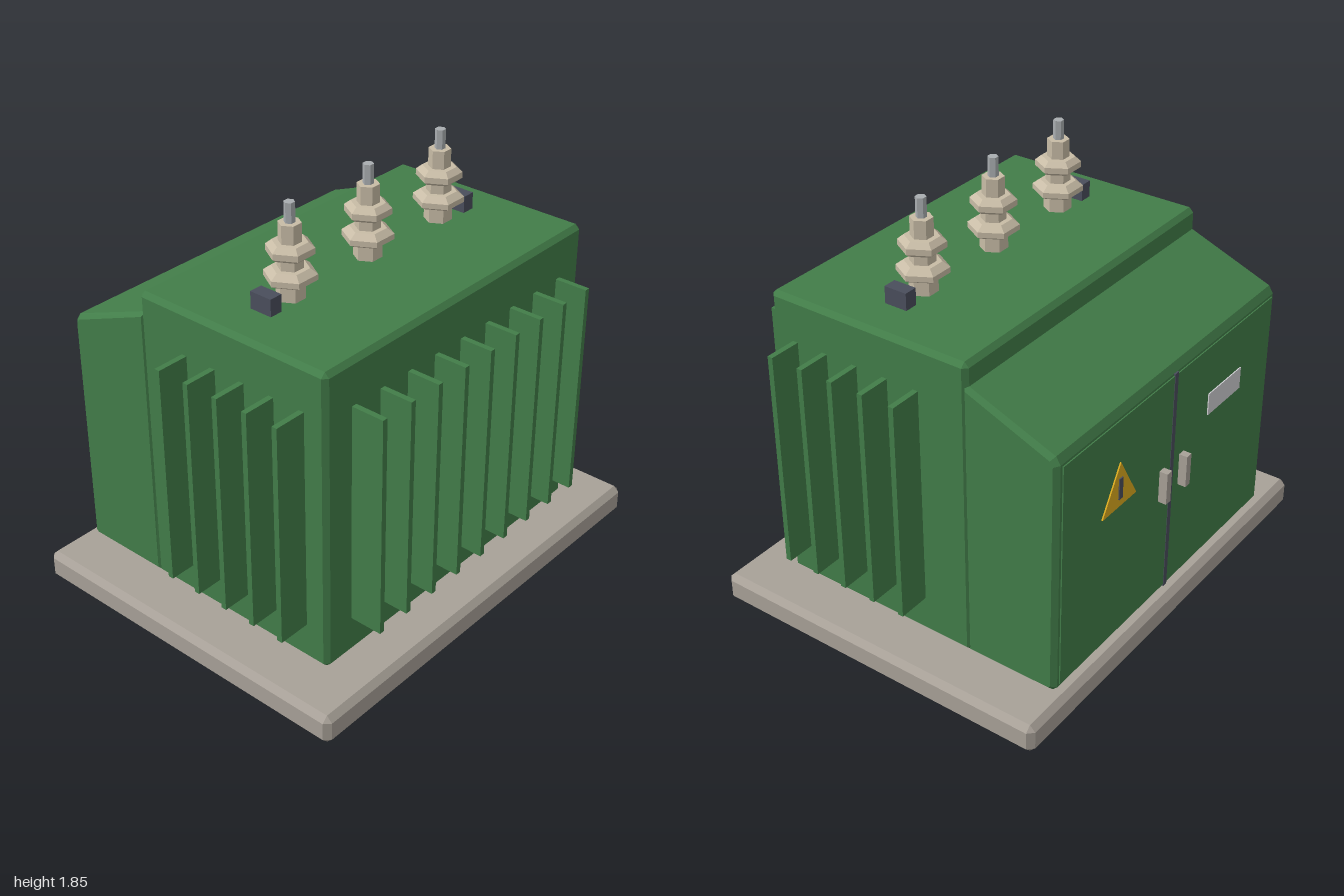
import * as THREE from 'three';
import { ConvexGeometry } from 'three/addons/geometries/ConvexGeometry.js';

const mat = (name, color) => {
  const m = new THREE.MeshStandardMaterial({ color });
  m.name = name;
  return m;
};

// Box with every edge and corner cut at 45 degrees, given by its limits
function chamferBox(x0, x1, y0, y1, z0, z1, c) {
  const h = [(x1 - x0) / 2, (y1 - y0) / 2, (z1 - z0) / 2];
  const pts = [];
  for (const sx of [-1, 1]) for (const sy of [-1, 1]) for (const sz of [-1, 1])
    for (let axis = 0; axis < 3; axis++) {
      const p = h.map((v, i) => (i === axis ? v : v - c));
      pts.push(new THREE.Vector3(sx * p[0], sy * p[1], sz * p[2]));
    }
  return new ConvexGeometry(pts).translate((x0 + x1) / 2, (y0 + y1) / 2, (z0 + z1) / 2);
}

// Plain box given by its limits
function box(x0, x1, y0, y1, z0, z1) {
  return new THREE.BoxGeometry(x1 - x0, y1 - y0, z1 - z0)
    .translate((x0 + x1) / 2, (y0 + y1) / 2, (z0 + z1) / 2);
}

// Six-sided turned part with flat faces, corners on the x axis
function hexTurned(profile) {
  const pts = profile.map(([r, y]) => new THREE.Vector2(r, y));
  const g = new THREE.LatheGeometry(pts, 6, Math.PI / 2).toNonIndexed();
  g.computeVertexNormals();
  return g;
}

export function createModel() {
  const model = new THREE.Group();
  model.name = 'transformer';

  const green = mat('green paint', 0x427d49);
  const concrete = mat('concrete', 0xa8a198);
  const dark = mat('dark grey', 0x4a4e5c);
  const ceramic = mat('ceramic', 0xc8bca6);
  const steel = mat('steel', 0xa9adb0);
  const yellow = mat('warning yellow', 0xdcaa1e);
  const plate = mat('label grey', 0xcfcfd2);

  const add = (name, geometry, material, parent = model) => {
    const mesh = new THREE.Mesh(geometry, material);
    mesh.name = name;
    parent.add(mesh);
    return mesh;
  };

  // Plinth and main tank
  add('plinth', chamferBox(-1, 1, 0, 0.13, -0.787, 0.787, 0.025), concrete);
  add('tank', chamferBox(-0.787, 0.787, 0.13, 1.455, -0.342, 0.598, 0.02), green);

  // Cabinet with sloping roof: side profile (distance to the back, height) extruded along x
  const profile = [[0.32, 0.13], [0.72, 0.13], [0.74, 0.15], [0.74, 1.18], [0.72, 1.212], [0.32, 1.368]];
  const shape = new THREE.Shape(profile.map(([u, y]) => new THREE.Vector2(u, y)));
  const cabinet = new THREE.ExtrudeGeometry(shape, {
    depth: 1.534, bevelEnabled: true, bevelSegments: 1,
    bevelSize: 0.02, bevelThickness: 0.02, bevelOffset: -0.02,
  });
  cabinet.translate(0, 0, -0.767).rotateY(Math.PI / 2);
  add('cabinet', cabinet, green);

  // Cooling fins on the front and both sides
  const fins = new THREE.Group();
  fins.name = 'coolingFins';
  model.add(fins);
  for (let i = -4; i <= 4; i++) {
    const x = i * 0.1585;
    add('frontFin', box(x - 0.012, x + 0.012, 0.3, 1.265, 0.58, 0.742), green, fins);
  }
  for (let i = 0; i < 5; i++) {
    const z = -0.107 + i * 0.1475;
    add('leftFin', box(0.77, 0.928, 0.3, 1.265, z - 0.012, z + 0.012), green, fins);
    add('rightFin', box(-0.928, -0.77, 0.3, 1.265, z - 0.012, z + 0.012), green, fins);
  }

  // Insulator bushings with two sheds and a terminal rod
  const bushing = hexTurned([
    [0.058, 1.44], [0.058, 1.525], [0.085, 1.525], [0.105, 1.537], [0.105, 1.56], [0.075, 1.582], [0.052, 1.582],
    [0.052, 1.63], [0.078, 1.63], [0.095, 1.643], [0.095, 1.668], [0.07, 1.688], [0.046, 1.688],
    [0.046, 1.765], [0, 1.765],
  ]);
  const rod = hexTurned([[0.022, 1.75], [0.022, 1.847], [0, 1.847]]);
  for (const x of [-0.443, 0, 0.443]) {
    const unit = new THREE.Group();
    unit.name = 'bushing';
    unit.position.set(x, 0, 0.123);
    model.add(unit);
    add('insulator', bushing, ceramic, unit);
    add('terminalRod', rod, steel, unit);
  }

  // Mirrored pieces: lifting lugs, doors and door handles
  for (const s of [-1, 1]) {
    const span = (a, b) => (s > 0 ? [a, b] : [-b, -a]);
    add('liftingLug', box(...span(0.55, 0.608), 1.44, 1.528, 0.073, 0.175), dark);
    add('door', box(...span(0.012, 0.755), 0.16, 1.17, -0.745, -0.736), green);
    add('doorHandle', box(...span(0.057, 0.09), 0.627, 0.772, -0.782, -0.743), concrete);
  }
  add('doorGap', box(-0.012, 0.012, 0.15, 1.18, -0.747, -0.738), dark);

  // Warning triangle and label plate on the doors
  const r = 0.134;
  const triangle = new THREE.Shape([90, 210, 330].map((d) => {
    const a = THREE.MathUtils.degToRad(d);
    return new THREE.Vector2(r * Math.cos(a), r * Math.sin(a));
  }));
  const sign = new THREE.ExtrudeGeometry(triangle, { depth: 0.008, bevelEnabled: false });
  sign.rotateY(Math.PI).translate(0.385, 0.85, -0.743);
  add('warningSign', sign, yellow);
  add('warningMark', box(0.373, 0.397, 0.82, 0.915, -0.756, -0.749), dark);
  add('labelPlate', box(-0.517, -0.262, 0.85, 0.95, -0.75, -0.743), plate);

  return model;
}
